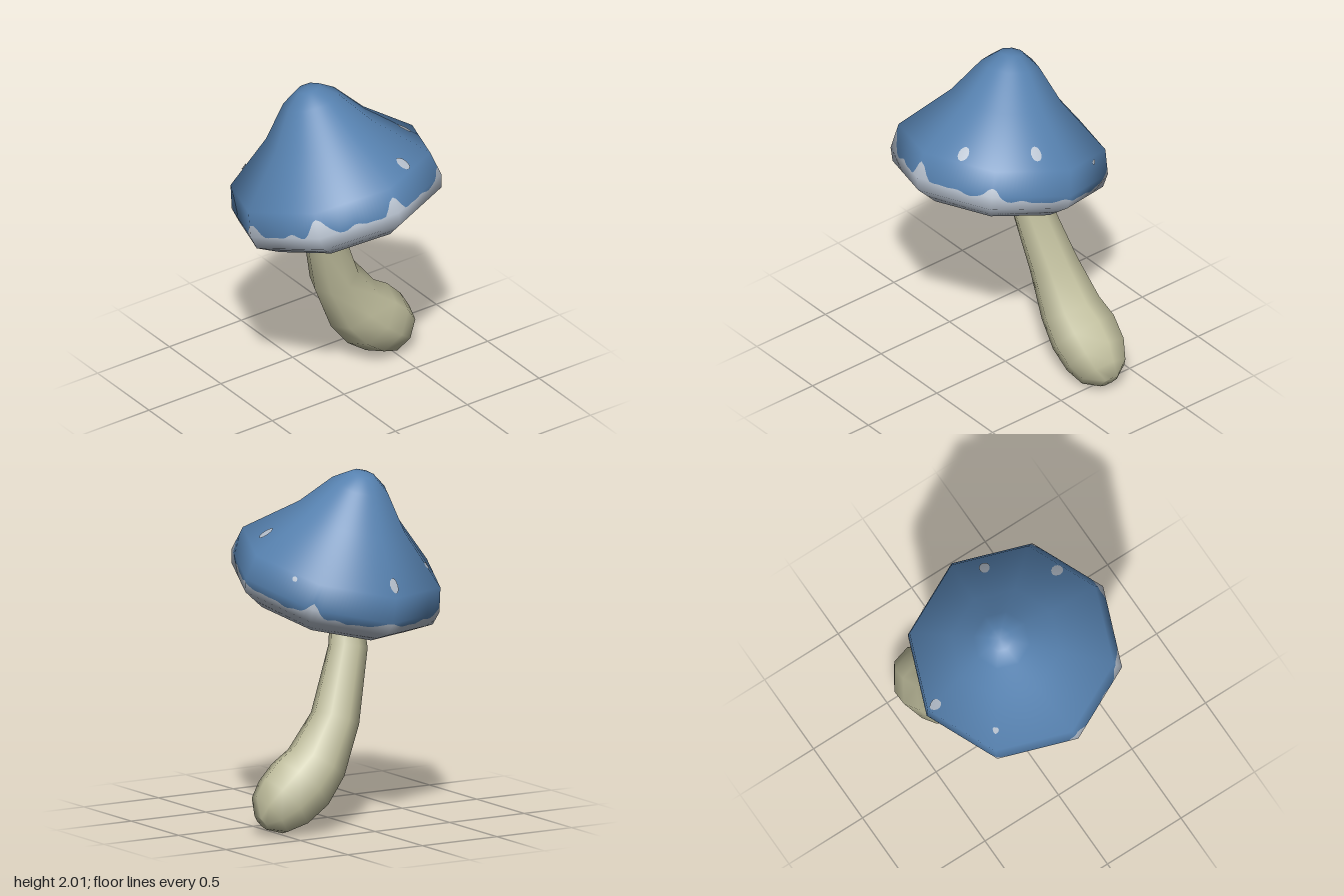
import * as THREE from 'three';

const mat = (name, color) => Object.assign(new THREE.MeshStandardMaterial({ color }), { name });

// Cap profile [radius, height]: under the cap, over the rim, up to the tip
const PROFILE = [
  [0, 0.12], [0.24, 0.05], [0.405, -0.1], [0.46, -0.125], [0.6, -0.035], [0.62, 0.045],
  [0.59, 0.19], [0.315, 0.44], [0.165, 0.635], [0.07, 0.705], [0, 0.718],
];
const RIM = 3, TIP = PROFILE.length - 1;
const SECTOR = Math.PI / 4;

const KNOT_NORMALS = PROFILE.map((p, i) => {
  if (i === 0) return new THREE.Vector2(0, -1);
  if (i === TIP) return new THREE.Vector2(0, 1);
  const n = new THREE.Vector2();
  for (const [a, b] of [[PROFILE[i - 1], p], [p, PROFILE[i + 1]]]) {
    n.add(new THREE.Vector2(b[1] - a[1], a[0] - b[0]).normalize());
  }
  return n.normalize();
});

// Point and smooth normal on the eight-sided cap at angle a and profile position t
function capSample(a, t, lift = 0) {
  const i = Math.min(Math.floor(t), TIP - 1), f = t - i;
  const r = THREE.MathUtils.lerp(PROFILE[i][0], PROFILE[i + 1][0], f);
  const h = THREE.MathUtils.lerp(PROFILE[i][1], PROFILE[i + 1][1], f);
  const inSector = THREE.MathUtils.euclideanModulo(a, SECTOR) - SECTOR / 2;
  const R = r * Math.cos(SECTOR / 2) / Math.cos(inSector);
  const n2 = KNOT_NORMALS[i].clone().lerp(KNOT_NORMALS[i + 1], f).normalize();
  const n = new THREE.Vector3(Math.cos(a) * n2.x, n2.y, Math.sin(a) * n2.x);
  const p = new THREE.Vector3(Math.cos(a) * R, h, Math.sin(a) * R).addScaledVector(n, lift);
  return { p, n };
}

function toGeometry(samples, index) {
  const g = new THREE.BufferGeometry();
  g.setAttribute('position', new THREE.Float32BufferAttribute(samples.flatMap(s => s.p.toArray()), 3));
  g.setAttribute('normal', new THREE.Float32BufferAttribute(samples.flatMap(s => s.n.toArray()), 3));
  g.setIndex(index);
  return g;
}

// Band of the cap; each row is a function giving t at an angle
function capBand(rows, segs = 160) {
  const samples = [], index = [];
  rows.forEach((row, j) => {
    for (let i = 0; i <= segs; i++) {
      const a = (i / segs) * Math.PI * 2;
      samples.push(capSample(a, row(a)));
      if (j < rows.length - 1 && i < segs) {
        const k = j * (segs + 1) + i, up = k + segs + 1;
        index.push(k, up, k + 1, k + 1, up, up + 1);
      }
    }
  });
  return toGeometry(samples, index);
}

// Ragged edge between the pale rim and the cap, with a peak near every corner
const PEAKS = [0.25, 0.65, 0.6, 0.7, 0.5, 0.5, 0.6, 0.9];
function edge(a) {
  const corner = Math.round(a / SECTOR);
  const d = a - corner * SECTOR;
  const peak = PEAKS[corner % 8] * Math.exp(-((d / 0.09) ** 2));
  return 4.7 - 0.35 * Math.cos(a + Math.PI / 4) + peak + 0.06 * Math.sin(a * 17) + 0.05 * Math.sin(a * 29);
}

// Thin spot lying on the cap
function spotGeometry(deg, t, da, dt) {
  const a0 = THREE.MathUtils.degToRad(deg), sides = 12;
  const samples = [capSample(a0, t, 0.006)], index = [];
  for (let i = 0; i < sides; i++) {
    const f = (i / sides) * Math.PI * 2;
    samples.push(capSample(a0 + da * Math.cos(f), t + dt * Math.sin(f), 0.006));
    index.push(0, 1 + ((i + 1) % sides), 1 + i);
  }
  return toGeometry(samples, index);
}

// Stem: eight-sided rings [x, y, z, radius] from top to foot
function stemGeometry() {
  const rings = [
    [-0.06, 1.45, -0.09, 0.08], [-0.04, 1.27, -0.125, 0.085], [-0.015, 1.0, -0.19, 0.114],
    [0.115, 0.61, -0.258, 0.143], [0.25, 0.37, -0.272, 0.18], [0.36, 0.26, -0.277, 0.203],
    [0.47, 0.167, -0.274, 0.19], [0.557, 0.1, -0.265, 0.145], [0.61, 0.06, -0.26, 0.055],
  ];
  const sides = 8, pos = [], index = [];
  const at = i => new THREE.Vector3(...rings[THREE.MathUtils.clamp(i, 0, rings.length - 1)]);
  rings.forEach((ring, j) => {
    const T = at(j + 1).sub(at(j - 1)).normalize();
    const U = new THREE.Vector3(0, 0, 1).cross(T).normalize();
    const V = T.clone().cross(U);
    for (let i = 0; i < sides; i++) {
      const a = (i / sides) * Math.PI * 2;
      const p = at(j).addScaledVector(U, ring[3] * Math.cos(a)).addScaledVector(V, ring[3] * Math.sin(a));
      pos.push(p.x, p.y, p.z);
      if (j < rings.length - 1) {
        const k = j * sides + i, k1 = j * sides + (i + 1) % sides;
        index.push(k, k1, k + sides, k1, k1 + sides, k + sides);
      }
    }
  });
  // close the foot
  const last = (rings.length - 1) * sides;
  for (let i = 1; i < sides - 1; i++) index.push(last, last + i, last + i + 1);
  const g = new THREE.BufferGeometry();
  g.setAttribute('position', new THREE.Float32BufferAttribute(pos, 3));
  g.setIndex(index);
  g.computeVertexNormals();
  return g;
}

export function createModel() {
  const blue = mat('capBlue', 0x5782b0);
  const pale = mat('rimPale', 0xbac4d1);
  const cream = mat('stemCream', 0xc1bf9e);

  const model = new THREE.Group();
  model.name = 'mushroom';
  const add = (parent, name, geometry, material) => {
    const m = new THREE.Mesh(geometry, material);
    m.name = name;
    parent.add(m);
  };

  add(model, 'stem', stemGeometry(), cream);

  // Tilted cap
  const cap = new THREE.Group();
  cap.name = 'cap';
  cap.position.set(-0.047, 1.3, 0.012);
  cap.quaternion.setFromUnitVectors(new THREE.Vector3(0, 1, 0), new THREE.Vector3(-0.135, 1, -0.25).normalize());
  cap.rotateY(0.02);
  model.add(cap);

  const knots = [...PROFILE.keys()];
  add(cap, 'capUnderside', capBand(knots.slice(0, RIM + 1).map(k => () => k)), blue);
  add(cap, 'capRim', capBand([3, 4, 5, 6].map(k => a => Math.min(k, edge(a)))), pale);
  add(cap, 'capTop', capBand([4, 5, 6, 7, 8, 9, 10].map(k => a => Math.max(k, edge(a)))), blue);

  // Spots: angle, profile position, half width, half height
  const spots = [
    [67, 6.16, 0.062, 0.13], [18, 6.3, 0.065, 0.13], [-29, 5.8, 0.03, 0.1],
    [-91, 6.2, 0.055, 0.13], [-135, 6.4, 0.038, 0.06],
  ];
  spots.forEach((s, i) => add(cap, `spot${i + 1}`, spotGeometry(...s), pale));

  return model;
}
